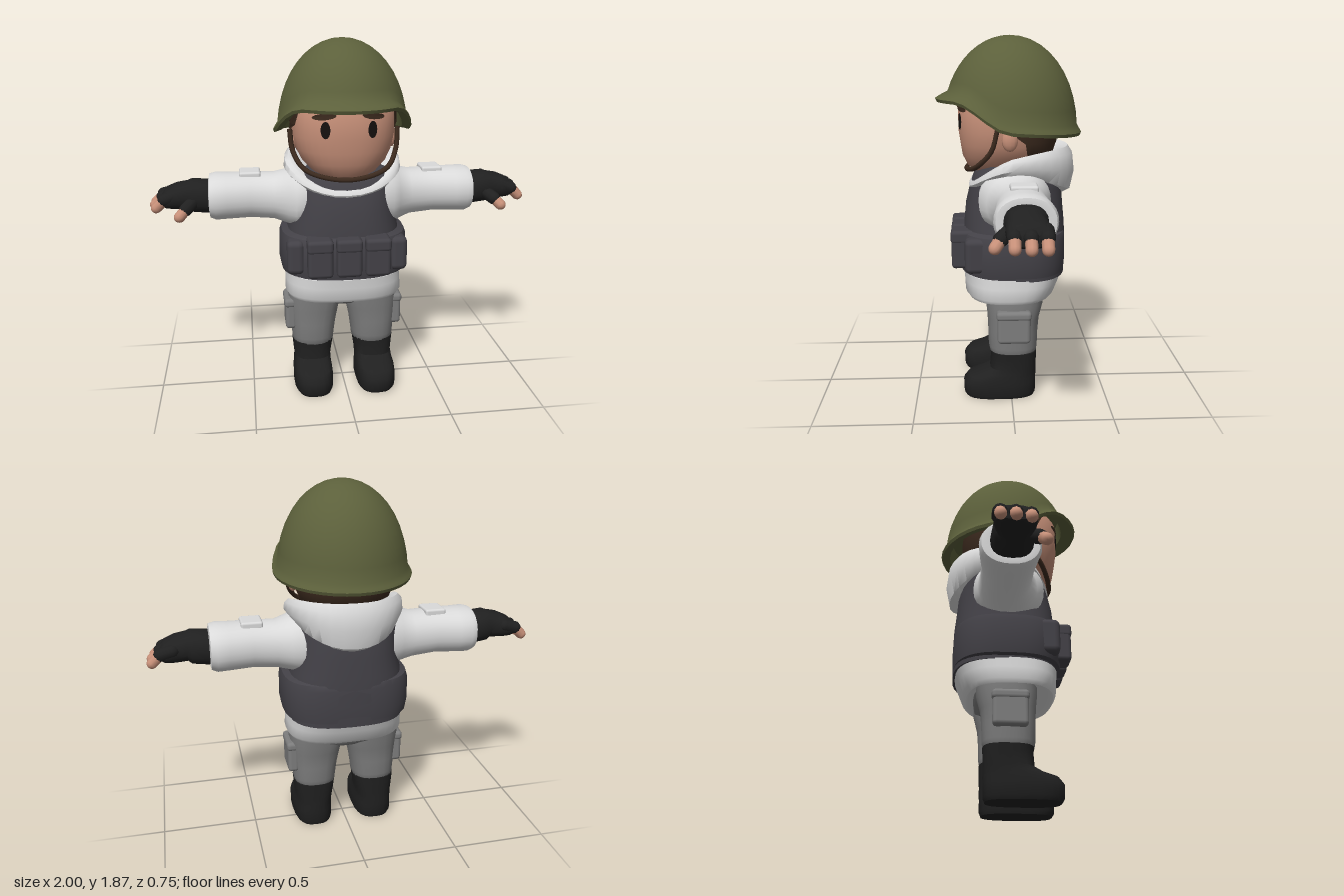
import * as THREE from 'three';
import { toCreasedNormals } from 'three/addons/utils/BufferGeometryUtils.js';
import { RoundedBoxGeometry } from 'three/addons/geometries/RoundedBoxGeometry.js';

const mat = (name, color, side = THREE.FrontSide) => {
  const m = new THREE.MeshStandardMaterial({ color, side });
  m.name = name;
  return m;
};

// Grid of points fn(u, j): u runs 0..1 round the part, j counts the rows
function surface(fn, cols, rows, closed = true, crease = 0.8) {
  const pos = [], idx = [], n = closed ? cols : cols + 1;
  for (let j = 0; j < rows; j++) for (let i = 0; i < n; i++) pos.push(...fn(i / cols, j));
  for (let j = 0; j < rows - 1; j++) {
    for (let i = 0; i < cols; i++) {
      const k = (i + 1) % n, a = j * n + i, b = j * n + k;
      idx.push(a, b, b + n, a, b + n, a + n);
    }
  }
  const g = new THREE.BufferGeometry();
  g.setAttribute('position', new THREE.Float32BufferAttribute(pos, 3));
  g.setIndex(idx);
  return toCreasedNormals(g, crease);
}

const power = (v, p) => Math.sign(v) * Math.abs(v) ** (2 / p);

// Stack of superellipses, each row [y, rx, rz, cz, cx]
function loft(rows, p = 2.4, cols = 28) {
  return surface((u, j) => {
    const [y, rx, rz, cz = 0, cx = 0] = rows[j], t = u * Math.PI * 2;
    return [cx + rx * power(Math.sin(t), p), y, cz + rz * power(Math.cos(t), p)];
  }, cols, rows.length);
}

// Copy across x = 0, with the corner order reversed
function mirrored(geo) {
  const g = geo.index ? geo.toNonIndexed() : geo.clone();
  g.scale(-1, 1, 1);
  for (const name of ['position', 'normal']) {
    const a = g.attributes[name].array;
    for (let i = 0; i < a.length; i += 9) {
      for (let k = 0; k < 3; k++) [a[i + k], a[i + 6 + k]] = [a[i + 6 + k], a[i + k]];
    }
  }
  return g;
}

const box = (w, h, d, x, y, z, r = 0.02) => new RoundedBoxGeometry(w, h, d, 2, r).translate(x, y, z);

// Capsule between two points
function finger(a, b, r) {
  const A = new THREE.Vector3(...a), B = new THREE.Vector3(...b), d = B.clone().sub(A);
  const g = new THREE.CapsuleGeometry(r, d.length(), 5, 10);
  g.applyQuaternion(new THREE.Quaternion().setFromUnitVectors(new THREE.Vector3(0, 1, 0), d.normalize()));
  return g.translate(...A.add(B).multiplyScalar(0.5).toArray());
}

export function createModel() {
  const root = new THREE.Group();
  root.name = 'soldier';
  const olive = mat('olive helmet', 0x5c603b, THREE.DoubleSide);
  const white = mat('white cloth', 0xdadada, THREE.DoubleSide);
  const slate = mat('slate vest', 0x434147);
  const grey = mat('grey trousers', 0x7d7d7d);
  const black = mat('black leather', 0x202020);
  const skin = mat('skin', 0xc79079);
  const brown = mat('brown hair', 0x3d2b1f, THREE.DoubleSide);
  const dark = mat('eye black', 0x15110f, THREE.DoubleSide);

  const add = (name, geo, m) => {
    const mesh = new THREE.Mesh(geo, m);
    mesh.name = name;
    root.add(mesh);
  };
  const pair = (name, geo, m) => {
    add(name + 'Left', geo, m);
    add(name + 'Right', mirrored(geo), m);
  };

  // Head
  add('head', loft([[1.19, 0, 0, 0.1], [1.195, 0.1, 0.09, 0.11], [1.22, 0.165, 0.17, 0.05], [1.27, 0.215, 0.22, 0.025],
    [1.33, 0.245, 0.24, 0.015], [1.4, 0.26, 0.25, 0.015], [1.55, 0.26, 0.25, 0.015], [1.65, 0.2, 0.2], [1.68, 0, 0]], 2.4, 36), skin);
  pair('ear', new THREE.SphereGeometry(1, 12, 8).scale(0.025, 0.055, 0.04).translate(0.255, 1.37, 0.01), skin);

  // Hair wrapped round the back, with sideburns growing forward under the helmet
  const hairRows = [[1.25, 0.2, 115], [1.29, 0.24, 108], [1.35, 0.26, 104], [1.42, 0.272, 88], [1.46, 0.272, 66], [1.55, 0.272, 55]];
  add('hair', surface((u, j) => {
    const [y, r, edge] = hairRows[j];
    const t = THREE.MathUtils.degToRad(edge + (360 - 2 * edge) * u);
    return [r * power(Math.sin(t), 2.4), y, 0.01 + r * 0.97 * power(Math.cos(t), 2.4)];
  }, 24, hairRows.length, false), brown);

  // Eyes and brows laid on the curve of the face
  const facePatch = (cx, cy, w, h, tilt) => surface((u, j) => {
    const a = u * Math.PI * 2, px = j ? 0 : w * Math.cos(a), py = j ? 0 : h * Math.sin(a);
    const x = cx + px * Math.cos(tilt) - py * Math.sin(tilt), y = cy + px * Math.sin(tilt) + py * Math.cos(tilt);
    return [x, y, 0.021 + 0.25 * (1 - Math.abs(x / 0.26) ** 2.4) ** (1 / 2.4)];
  }, 16, 2);
  pair('eye', facePatch(0.115, 1.45, 0.023, 0.042, 0), dark);
  pair('eyebrow', facePatch(0.12, 1.515, 0.058, 0.016, -0.12), brown);

  // Chin strap
  const side = [[0.275, 1.43, 0.07], [0.262, 1.32, 0.1], [0.2, 1.235, 0.17]];
  const strap = [...side, [0, 1.195, 0.225], ...side.map(([x, y, z]) => [-x, y, z]).reverse()];
  add('chinStrap', new THREE.TubeGeometry(new THREE.CatmullRomCurve3(strap.map(p => new THREE.Vector3(...p))), 40, 0.013, 6), brown);

  // Helmet: inner ceiling, rolled rim with front brim, then the dome
  const domeSteps = 10;
  add('helmet', surface((u, j) => {
    const t = u * Math.PI * 2, c = Math.cos(t);
    const rim = 1.41 + 0.03 * Math.min(c, 0) + 0.14 * THREE.MathUtils.smoothstep(c, 0, 0.8);
    const radius = y => 0.335 * Math.sqrt(Math.max(0, 1 - Math.max(0, (y - 1.37) / 0.5) ** 2.2));
    const lip = 0.02 + 0.03 * Math.max(c, 0) ** 2;
    const edge = radius(rim);
    const rows = [[0, rim + 0.1], [edge - 0.04, rim + 0.1], [edge - 0.025, rim + 0.005], [edge + lip - 0.006, rim - 0.008],
      [edge + lip, rim + 0.008], [edge + lip * 0.6, rim + 0.022]];
    let r, y;
    if (j < rows.length) [r, y] = rows[j];
    else {
      const s = (j - rows.length) / domeSteps, low = rim + 0.045;
      y = low + (1.87 - low) * Math.sin(s * Math.PI / 2);
      r = radius(y);
    }
    return [r * Math.sin(t), y, r * 1.04 * c];
  }, 36, 7 + domeSteps), olive);

  // Hood: collar low at the throat, full roll behind the neck
  const hoodRows = [[0.23, 0.19, 0.26, 0], [0.275, 0.205, 0.315, 0.12], [0.305, 0.215, 0.335, 0.5], [0.3, 0.205, 0.325, 0.85],
    [0.28, 0.19, 0.3, 1], [0.24, 0.16, 0.25, 0.92], [0.17, 0.12, 0.15, 0.4]];
  add('hood', surface((u, j) => {
    const t = u * Math.PI * 2, c = Math.cos(t), [rx, front, back, h] = hoodRows[j];
    const low = 1.17 + 0.01 * c - 0.1 * c * c;
    const top = 1.32 - 0.18 * ((1 + c) / 2) ** 2.2;
    return [rx * power(Math.sin(t), 2.2), low + (top - low) * h, (c > 0 ? front : back) * power(c, 2.2)];
  }, 32, hoodRows.length), white);

  // Vest with belt and pouches
  add('vest', loft([[0.66, 0, 0, -0.02], [0.66, 0.305, 0.265, -0.02], [0.8, 0.305, 0.268, -0.02], [0.92, 0.29, 0.262, -0.022],
    [1.02, 0.268, 0.252, -0.022], [1.12, 0.268, 0.236, -0.03], [1.19, 0.272, 0.212, -0.035], [1.225, 0.245, 0.17, -0.04], [1.235, 0, 0, -0.04]], 2.7, 36), slate);
  add('belt', loft([[0.675, 0.29, 0.25, -0.015], [0.685, 0.328, 0.272, -0.012], [0.74, 0.338, 0.278, -0.01], [0.86, 0.335, 0.276, -0.01],
    [0.89, 0.325, 0.268, -0.012], [0.905, 0.28, 0.245, -0.015]], 2.8, 36), slate);
  for (const x of [-0.147, 0, 0.147]) {
    add('pouch', box(0.128, 0.195, 0.12, x, 0.803, 0.245), slate);
    add('pouchFlap', box(0.132, 0.07, 0.128, x, 0.87, 0.245), slate);
  }
  pair('sidePouch', box(0.09, 0.18, 0.13, 0.255, 0.795, 0.185, 0.03).rotateY(0.05), slate);

  // Jacket skirt
  add('jacketHem', loft([[0.555, 0, 0], [0.555, 0.28, 0.2], [0.54, 0.3, 0.22, 0.005], [0.56, 0.312, 0.236, 0.003],
    [0.62, 0.308, 0.25, -0.008], [0.67, 0.305, 0.262, -0.015], [0.69, 0.28, 0.24, -0.015]], 2.7, 36), white);

  // Sleeves, lofted upright then laid along x
  const alongX = g => g.rotateZ(-Math.PI / 2).translate(0, 1.07, 0);
  pair('sleeve', alongX(loft([[0.2, 0.16, 0.18, -0.015], [0.25, 0.162, 0.18, -0.015, 0.005], [0.29, 0.142, 0.152, -0.025, 0.01],
    [0.36, 0.122, 0.128, -0.04, 0.008], [0.48, 0.118, 0.128, -0.04, 0], [0.6, 0.12, 0.14, -0.043, 0.002],
    [0.66, 0.122, 0.146, -0.043, 0.002], [0.69, 0.112, 0.136, -0.043, 0], [0.695, 0.085, 0.1, -0.04, 0], [0.66, 0, 0, -0.04, 0]], 2.2)), white);
  pair('sleevePocket', box(0.11, 0.04, 0.13, 0.48, 1.18, -0.045, 0.012), white);

  // Fingerless gloves and fingers
  pair('glove', alongX(loft([[0.66, 0.08, 0.095, -0.04], [0.7, 0.086, 0.1, -0.04], [0.78, 0.084, 0.098, -0.036, -0.008],
    [0.8, 0.072, 0.088, -0.035, -0.012], [0.86, 0.066, 0.098, -0.04, -0.006], [0.91, 0.052, 0.095, -0.045, 0.002],
    [0.935, 0.03, 0.075, -0.045, 0.01], [0.94, 0, 0, -0.045, 0.01]], 2.4, 20)), black);
  for (const [z, reach] of [[-0.112, 0], [-0.045, 0], [0.022, -0.012]]) {
    pair('gloveFinger', finger([0.87, 1.085, z], [0.93 + reach, 1.07, z], 0.034), black);
    pair('finger', finger([0.93 + reach, 1.07, z], [0.972 + reach, 1.03, z], 0.027), skin);
  }
  pair('gloveThumb', finger([0.77, 1.06, 0.03], [0.81, 1.03, 0.075], 0.034), black);
  pair('thumb', finger([0.81, 1.03, 0.075], [0.84, 1.0, 0.1], 0.028), skin);

  // Trousers
  add('hips', loft([[0.46, 0, 0, -0.015], [0.47, 0.12, 0.1, -0.015], [0.51, 0.26, 0.15, -0.018], [0.6, 0.28, 0.165, -0.02]], 2.5), grey);
  pair('trouserLeg', loft([[0.23, 0.1, 0.11, -0.01, 0.165], [0.25, 0.112, 0.122, -0.01, 0.165], [0.28, 0.115, 0.128, -0.01, 0.165],
    [0.36, 0.124, 0.13, -0.01, 0.163], [0.44, 0.136, 0.135, -0.012, 0.158], [0.52, 0.148, 0.15, -0.018, 0.15], [0.6, 0.14, 0.15, -0.02, 0.15]], 2.5, 22), grey);
  pair('cargoPocket', box(0.06, 0.16, 0.17, 0.287, 0.41, -0.01), grey);
  pair('cargoFlap', box(0.066, 0.05, 0.18, 0.289, 0.48, -0.01), grey);

  // Boots: sole, rounded toe and shaft
  pair('boot', loft([[0, 0, 0, 0.06, 0.17], [0, 0.098, 0.18, 0.058, 0.17], [0.02, 0.106, 0.19, 0.06, 0.172], [0.08, 0.106, 0.191, 0.061, 0.172],
    [0.115, 0.103, 0.178, 0.046, 0.172], [0.135, 0.1, 0.145, 0.014, 0.171], [0.16, 0.1, 0.122, -0.01, 0.17], [0.22, 0.108, 0.12, -0.013, 0.168],
    [0.255, 0.112, 0.122, -0.012, 0.167], [0.262, 0.09, 0.1, -0.012, 0.167], [0.262, 0, 0, -0.012, 0.167]], 2.8, 24), black);

  return root;
}
